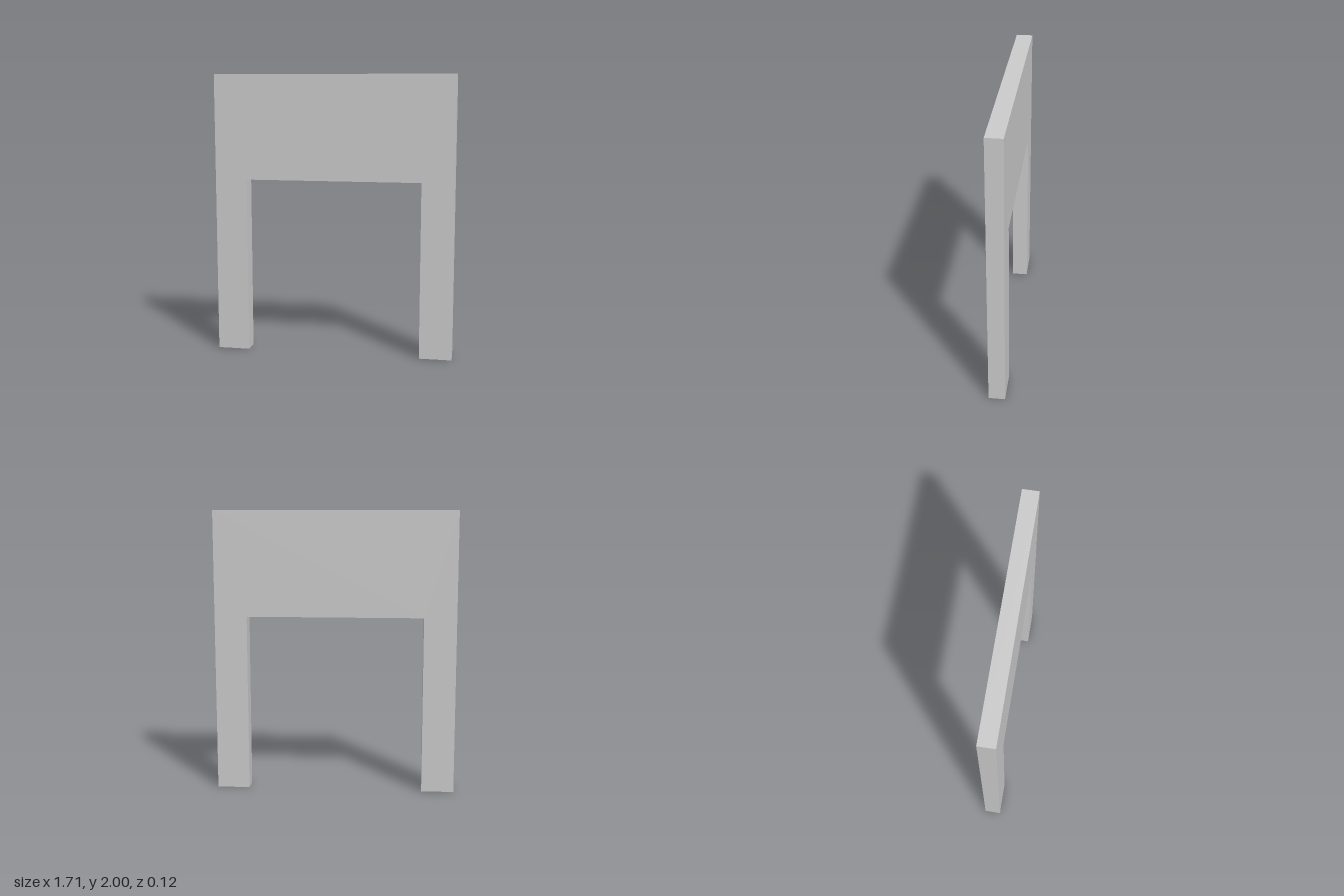
import * as THREE from 'three';

const HALF_WIDTH = 0.855;
const HALF_OPENING = 0.625;
const HEIGHT = 2;
const OPENING_HEIGHT = 1.255;
const DEPTH = 0.115;

export function createModel() {
  const group = new THREE.Group();
  group.name = 'doorwayWall';

  // Wall outline with an opening that reaches the floor
  const outline = new THREE.Shape([
    [-HALF_WIDTH, 0],
    [-HALF_OPENING, 0],
    [-HALF_OPENING, OPENING_HEIGHT],
    [HALF_OPENING, OPENING_HEIGHT],
    [HALF_OPENING, 0],
    [HALF_WIDTH, 0],
    [HALF_WIDTH, HEIGHT],
    [-HALF_WIDTH, HEIGHT],
  ].map(([x, y]) => new THREE.Vector2(x, y)));

  // One solid slab, centred on z = 0
  const geometry = new THREE.ExtrudeGeometry(outline, { depth: DEPTH, bevelEnabled: false });
  geometry.translate(0, 0, -DEPTH / 2);

  const wall = new THREE.Mesh(
    geometry,
    new THREE.MeshStandardMaterial({ color: 0xcccccc, flatShading: true }),
  );
  wall.name = 'wallWithOpening';
  group.add(wall);

  return group;
}
